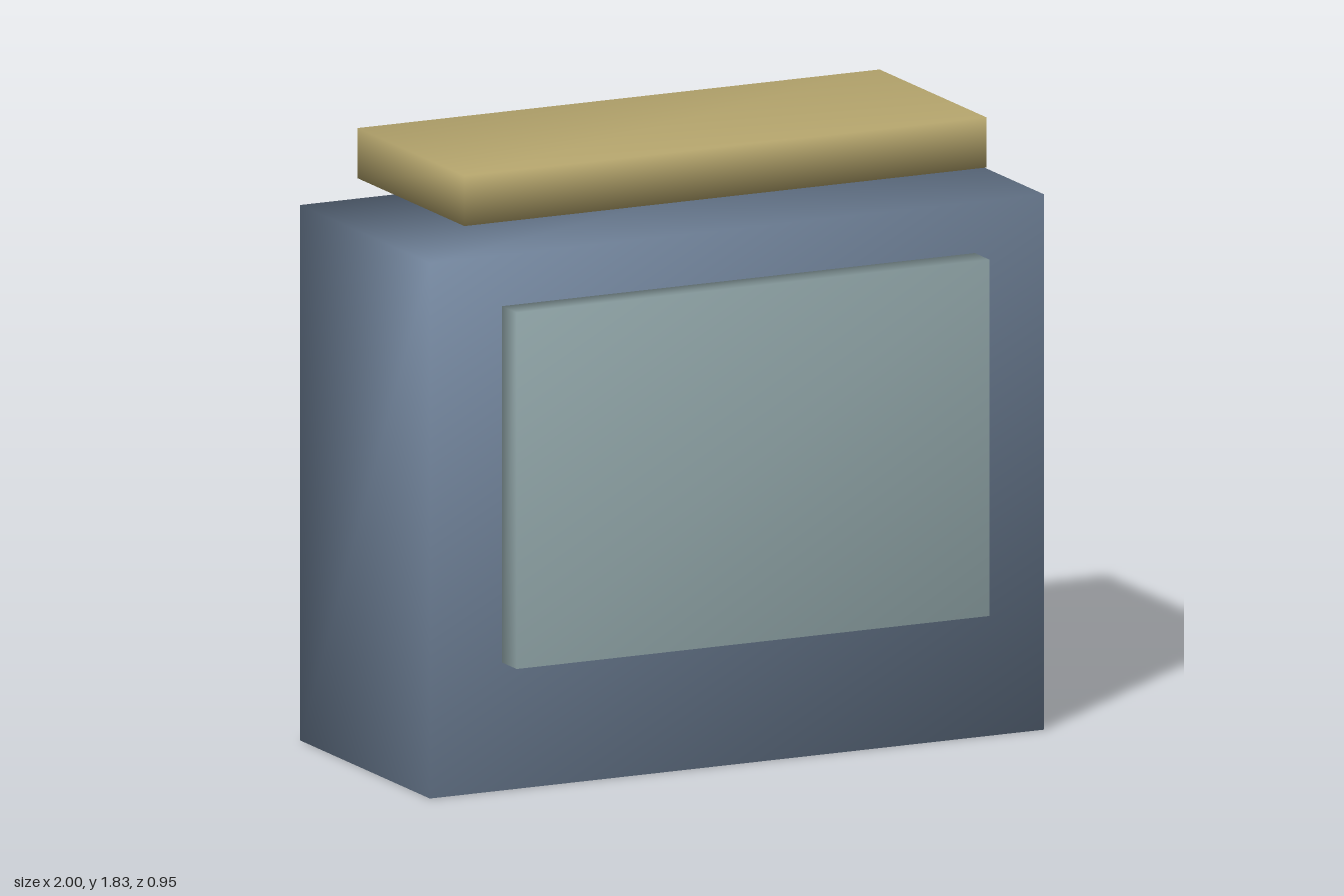
import * as THREE from 'three';
import { mergeVertices } from 'three/addons/utils/BufferGeometryUtils.js';

// Box given by its extents; the corners share soft normals.
function softBox(name, color, [x0, x1], [y0, y1], [z0, z1]) {
  let geometry = new THREE.BoxGeometry(x1 - x0, y1 - y0, z1 - z0);
  geometry.deleteAttribute('normal');
  geometry.deleteAttribute('uv');
  geometry = mergeVertices(geometry);
  geometry.computeVertexNormals();
  const mesh = new THREE.Mesh(geometry, new THREE.MeshStandardMaterial({ color }));
  mesh.name = name;
  mesh.position.set((x0 + x1) / 2, (y0 + y1) / 2, (z0 + z1) / 2);
  return mesh;
}

export function createModel() {
  const group = new THREE.Group();
  group.name = 'cabinet';
  group.add(
    // Main block standing on the ground
    softBox('body', 0x708299, [-1, 1], [0, 1.6], [-0.475, 0.37]),
    // Slab hovering just in front of the body
    softBox('frontPanel', 0x9ab0b3, [-0.77, 0.77], [0.385, 1.45], [0.38, 0.475]),
    // Slab hovering above the body
    softBox('topSlab', 0xb5a56d, [-0.85, 0.85], [1.68, 1.83], [-0.4, 0.295]),
  );
  return group;
}
